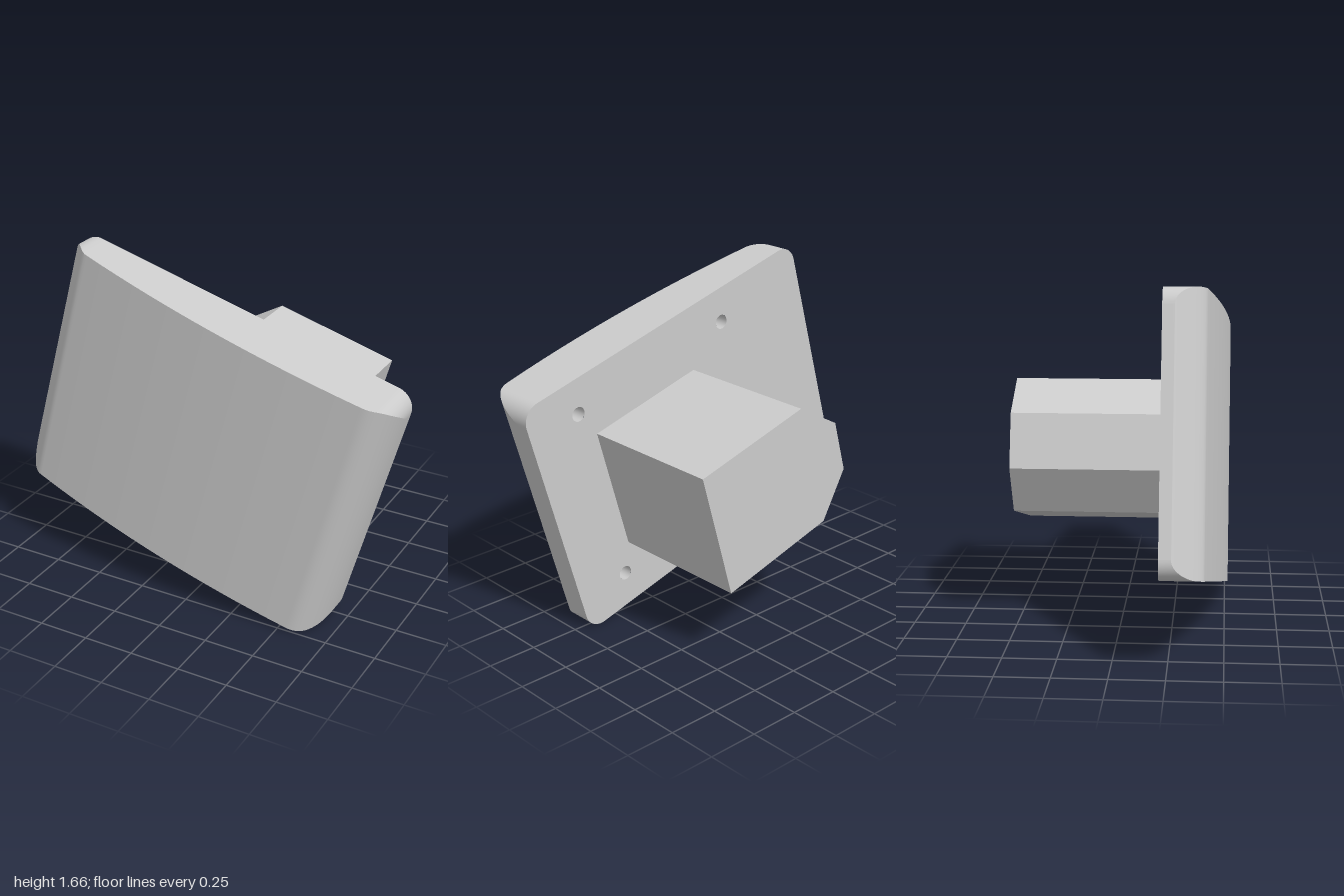
import * as THREE from 'three';

const W = 0.8815, H = 0.641, R = 0.09;      // plate half width, half height, corner radius
const BACK = 0.215, RIM = 0.27;             // plate back plane, top of the straight rim
const mat = new THREE.MeshStandardMaterial({ color: 0xcccccc });
const thinMat = new THREE.MeshStandardMaterial({ color: 0xcccccc, side: THREE.DoubleSide });

// Depth of the curved front at a given x: soft left end, shallow arc, round right end
const arc = x => 0.515 - (x - 0.347) ** 2 / 11.6;
function frontZ(x) {
  if (x < -0.757) return RIM + (arc(-0.757) - RIM) * (1 - Math.min(1, (-0.757 - x) / (W - 0.757)) ** 1.4);
  if (x > 0.736) return RIM + (arc(0.736) - RIM) * Math.sqrt(Math.max(0, 1 - ((x - 0.736) / (W - 0.736)) ** 2));
  return arc(x);
}

// Half height of the rounded rectangle at a given x
function halfHeight(x) {
  const d = Math.max(0, Math.abs(x) - (W - R));
  return H - R + Math.sqrt(Math.max(0, R * R - d * d));
}

// Smooth surface between two rows of points
function strip(a, b) {
  const n = a.length, index = [];
  for (let i = 0; i < n - 1; i++) index.push(i, i + 1, n + i, i + 1, n + i + 1, n + i);
  const g = new THREE.BufferGeometry().setFromPoints([...a, ...b]);
  g.setIndex(index);
  g.computeVertexNormals();
  return g;
}

function add(parent, name, geometry, material = mat) {
  const mesh = new THREE.Mesh(geometry, material);
  mesh.name = name;
  parent.add(mesh);
  return mesh;
}

function createPlate() {
  const plate = new THREE.Group();
  plate.name = 'plate';

  // Stations across the plate, denser at both ends
  const xs = [];
  const N = 16, inner = 0.73;
  for (let i = 0; i <= N; i++) xs.push(-inner - (W - inner) * Math.cos(i / N * Math.PI / 2));
  for (let i = 1; i < 40; i++) xs.push(-inner + 2 * inner * i / 40);
  for (let i = 0; i <= N; i++) xs.push(inner + (W - inner) * Math.sin(i / N * Math.PI / 2));
  const stations = [[-W, BACK], ...xs.map(x => [x, frontZ(x)]), [W, BACK]];
  const row = (side, flat) => stations.map(([x, z]) =>
    new THREE.Vector3(x, side * halfHeight(x), flat ? BACK : z));

  add(plate, 'curvedFront', strip(row(-1), row(1)));
  add(plate, 'topEdge', strip(row(1), row(1, true)));
  add(plate, 'bottomEdge', strip(row(-1, true), row(-1)));

  // Back panel with four screw holes
  const shape = new THREE.Shape();
  const cx = W - R, cy = H - R;
  shape.absarc(cx, cy, R, 0, Math.PI / 2);
  shape.absarc(-cx, cy, R, Math.PI / 2, Math.PI);
  shape.absarc(-cx, -cy, R, Math.PI, Math.PI * 1.5);
  shape.absarc(cx, -cy, R, Math.PI * 1.5, Math.PI * 2);
  const holeR = 0.036, depth = 0.1;
  for (const x of [-0.335, 0.6]) for (const y of [-0.47, 0.47]) {
    shape.holes.push(new THREE.Path().absarc(-x, y, holeR, 0, Math.PI * 2, true));
    const wall = new THREE.CylinderGeometry(holeR, holeR, depth, 24, 1, true).rotateX(Math.PI / 2);
    add(plate, 'screwHoleWall', wall, thinMat).position.set(x, y, BACK + depth / 2);
    const floor = new THREE.CircleGeometry(holeR, 24).rotateY(Math.PI);
    add(plate, 'screwHoleFloor', floor).position.set(x, y, BACK + depth);
  }
  const back = new THREE.ShapeGeometry(shape, 16).rotateY(Math.PI);
  add(plate, 'backPanel', back).position.z = BACK;
  return plate;
}

// Block on the back with two chamfered edges
function createBlock() {
  const x0 = -0.29, x1 = 0.533, h = 0.322, c = 0.19;
  const shape = new THREE.Shape([
    [x1, -h], [x1, h], [x0 + c, h], [x0, h - c], [x0, c - h], [x0 + c, -h],
  ].map(p => new THREE.Vector2(...p)));
  const back = -0.517;
  const g = new THREE.ExtrudeGeometry(shape, { depth: BACK - back, bevelEnabled: false });
  return g.translate(0, 0, back);
}

export function createModel() {
  const model = new THREE.Group();
  model.name = 'mountedPad';
  model.add(createPlate());
  add(model, 'mountingBlock', createBlock());
  model.rotation.z = THREE.MathUtils.degToRad(-15.5);
  model.position.y = 0.8325;
  const root = new THREE.Group();
  root.add(model);
  return root;
}
